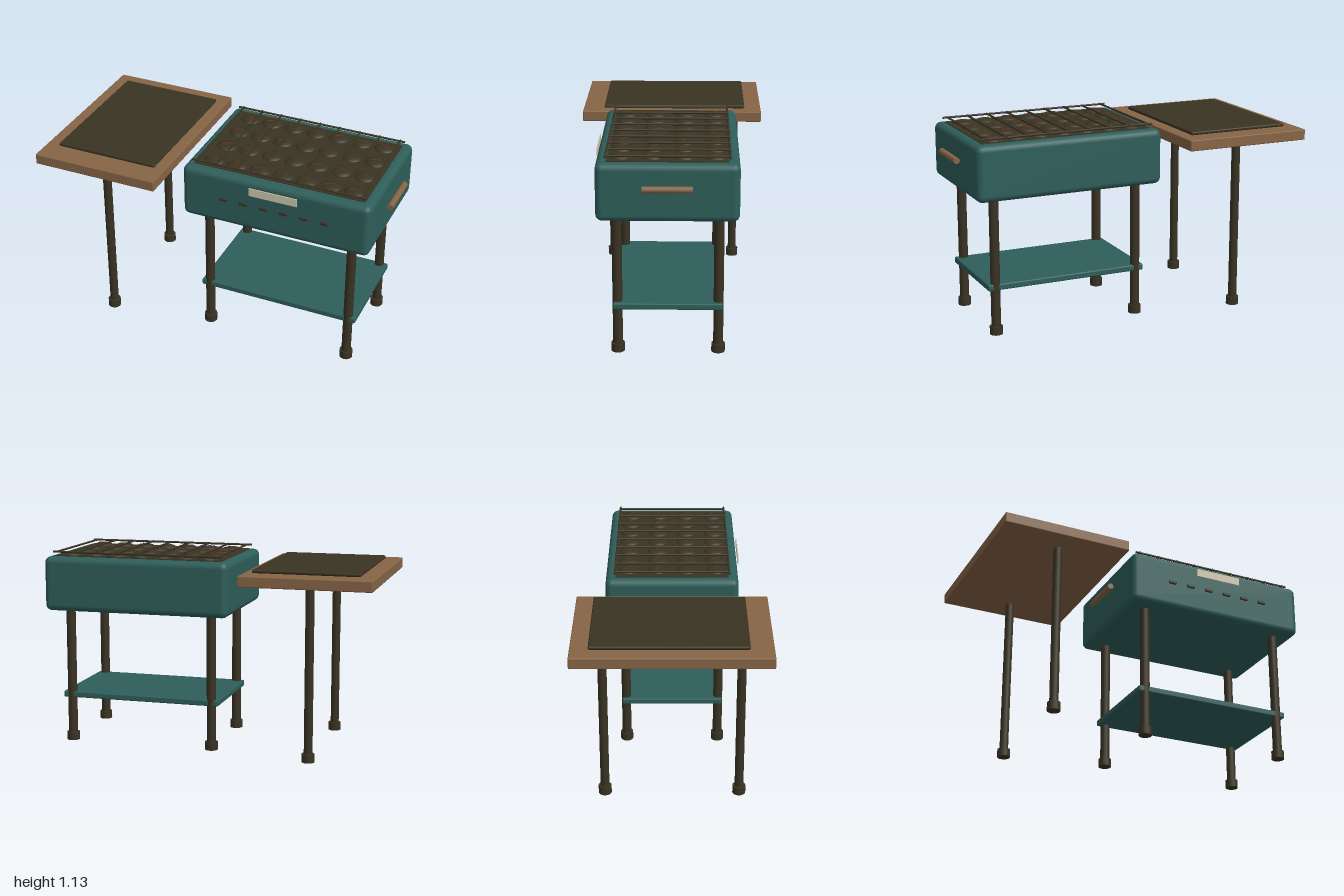
import * as THREE from 'three';
import { RoundedBoxGeometry } from 'three/addons/geometries/RoundedBoxGeometry.js';

const material = (name, color) => {
  const m = new THREE.MeshStandardMaterial({ color });
  m.name = name;
  return m;
};

export function createModel() {
  const model = new THREE.Group();
  model.name = 'grillWithSideTable';

  const teal = material('tealEnamel', 0x2e5e5a);
  const dark = material('darkIron', 0x3a3323);
  const wood = material('wood', 0x876546);
  const plate = material('paleMetal', 0xd0c8b0);
  const ember = material('ember', 0x8c3a18);

  const add = (name, geometry, mat, x, y, z, parent = model) => {
    const mesh = new THREE.Mesh(geometry, mat);
    mesh.name = name;
    mesh.position.set(x, y, z);
    parent.add(mesh);
    return mesh;
  };
  const group = (name) => {
    const g = new THREE.Group();
    g.name = name;
    model.add(g);
    return g;
  };

  const cx = 0.395; // centre of the grill along x

  // Firebox and lower shelf
  add('firebox', new RoundedBoxGeometry(1.1, 0.315, 0.755, 3, 0.036), teal, cx, 0.9425, 0);
  add('shelf', new RoundedBoxGeometry(0.95, 0.036, 0.59, 2, 0.008), teal, cx, 0.277, 0);

  // Legs with wider feet
  const leg = (name, x, z, radius, top) => {
    const g = group(name);
    add('post', new THREE.CylinderGeometry(radius, radius, top, 16), dark, x, top / 2, z, g);
    add('foot', new THREE.CylinderGeometry(0.037, 0.037, 0.047, 16), dark, x, 0.0235, z, g);
  };
  for (const z of [-0.273, 0.273]) {
    leg('grillLeg', -0.035, z, 0.027, 0.82);
    leg('grillLeg', 0.822, z, 0.027, 0.82);
  }
  for (const z of [-0.38, 0.38]) leg('tableLeg', -0.63, z, 0.025, 0.99);

  // Side table with its dark cooking plate
  add('tableTop', new RoundedBoxGeometry(0.745, 0.062, 1.065, 2, 0.006), wood, -0.6275, 1.024, 0);
  add('griddle', new RoundedBoxGeometry(0.605, 0.02, 0.84, 2, 0.008), dark, -0.615, 1.07, -0.014);

  // Wooden handles at both ends
  const handle = new THREE.CylinderGeometry(0.018, 0.018, 0.262, 16).rotateX(Math.PI / 2);
  for (const x of [-0.187, 0.977]) add('handle', handle, wood, x, 0.977, 0);

  // Front plate and row of vents
  add('frontPlate', new THREE.BoxGeometry(0.28, 0.047, 0.006), plate, cx, 1.043, 0.391);
  for (let i = 0; i < 6; i++) {
    add('vent', new RoundedBoxGeometry(0.05, 0.02, 0.024, 2, 0.006), dark, 0.097 + i * 0.119, 0.945, 0.374);
  }

  // Coal bed, flattened coals and glowing cracks
  add('coalBed', new THREE.BoxGeometry(1.0, 0.02, 0.64), dark, cx, 1.094, 0);
  const coals = group('coals');
  const coalShape = new THREE.SphereGeometry(0.06, 16, 10).scale(1, 0.35, 1);
  const crack = new THREE.TorusGeometry(0.07, 0.0022, 4, 8, 0.9)
    .rotateX(Math.PI / 2).translate(-0.061, 0, -0.03);
  for (let i = 0; i < 7; i++) {
    for (let j = 0; j < 4; j++) {
      const x = -0.01 + i * 0.137;
      const z = -0.252 + j * 0.167;
      add('coal', coalShape, dark, x, 1.101, z, coals);
      add('emberCrack', crack, ember, x, 1.121, z, coals).rotation.y = 1.2 + ((i * 5 + j * 3) % 7) * 0.2;
    }
  }

  // Grate: crossbars carried on two long rails
  const grate = group('grate');
  const bar = new THREE.CylinderGeometry(0.006, 0.006, 0.662, 8).rotateX(Math.PI / 2);
  for (let i = 0; i < 9; i++) add('grateBar', bar, dark, -0.088 + i * 0.1206, 1.127, 0, grate);
  const rail = new THREE.CylinderGeometry(0.006, 0.006, 1.02, 8).rotateZ(Math.PI / 2);
  for (const z of [-0.324, 0.324]) add('grateRail', rail, dark, cx, 1.126, z, grate);

  return model;
}
